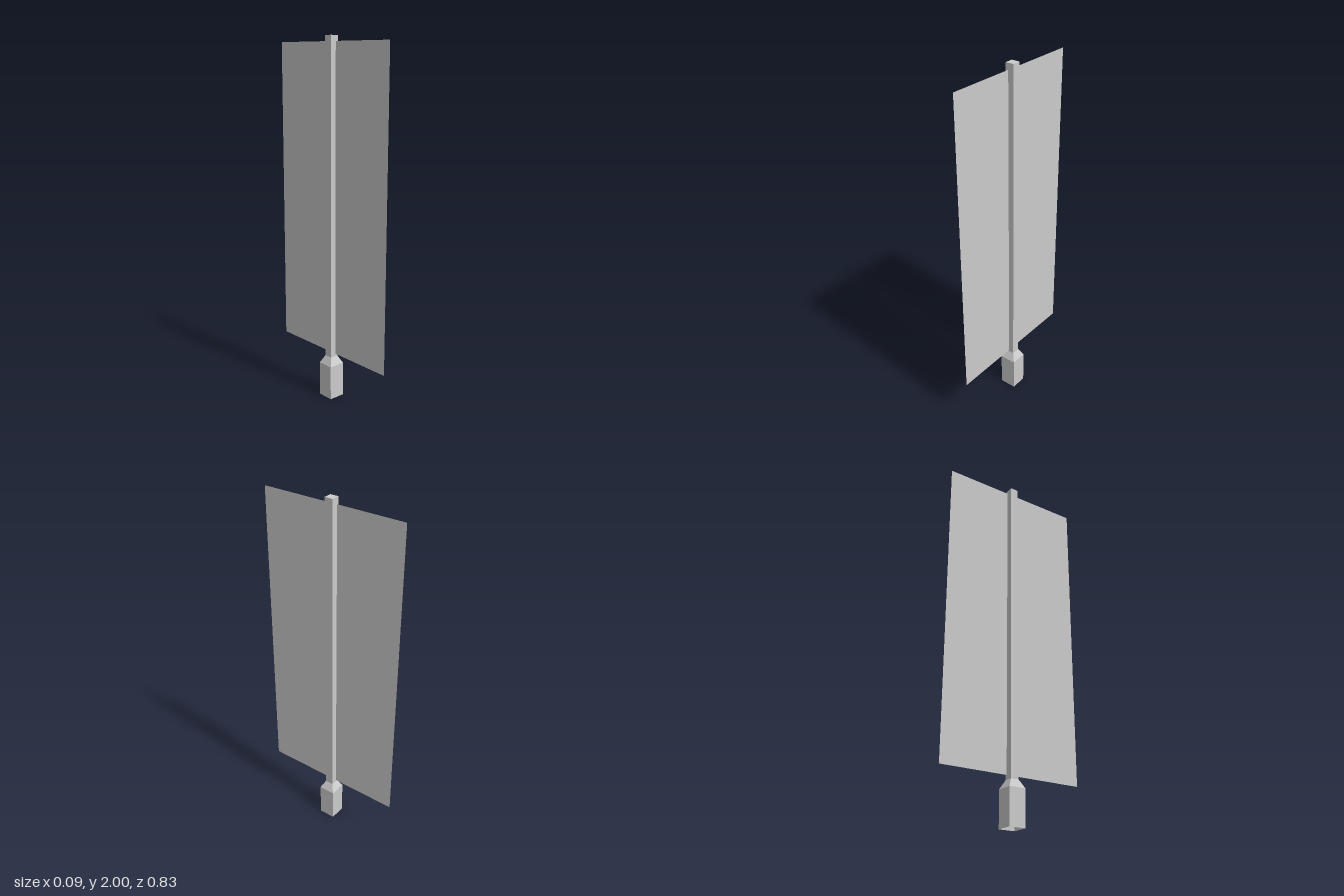
import * as THREE from 'three';

export function createModel() {
  const model = new THREE.Group();
  const material = new THREE.MeshStandardMaterial({
    color: 0xcccccc, flatShading: true, side: THREE.DoubleSide,
  });

  // Square post: wide open-bottomed foot, tapered shoulder, slim shaft, flat top
  const corner = Math.SQRT2;
  const profile = [[0.047, 0], [0.047, 0.195], [0.0235, 0.24], [0.0235, 2], [0, 2]]
    .map(([half, y]) => new THREE.Vector2(half * corner, y));
  const post = new THREE.Mesh(new THREE.LatheGeometry(profile, 4, Math.PI / 4), material);
  post.name = 'post';
  model.add(post);

  // Thin panels standing in front of and behind the shaft
  const inner = 0.033, outer = 0.416, bottom = 0.26, top = 1.97;
  for (const side of [1, -1]) {
    const panel = new THREE.Mesh(new THREE.PlaneGeometry(outer - inner, top - bottom), material);
    panel.name = side > 0 ? 'frontPanel' : 'backPanel';
    panel.rotation.y = Math.PI / 2;
    panel.position.set(0, (top + bottom) / 2, side * (inner + outer) / 2);
    model.add(panel);
  }

  return model;
}
